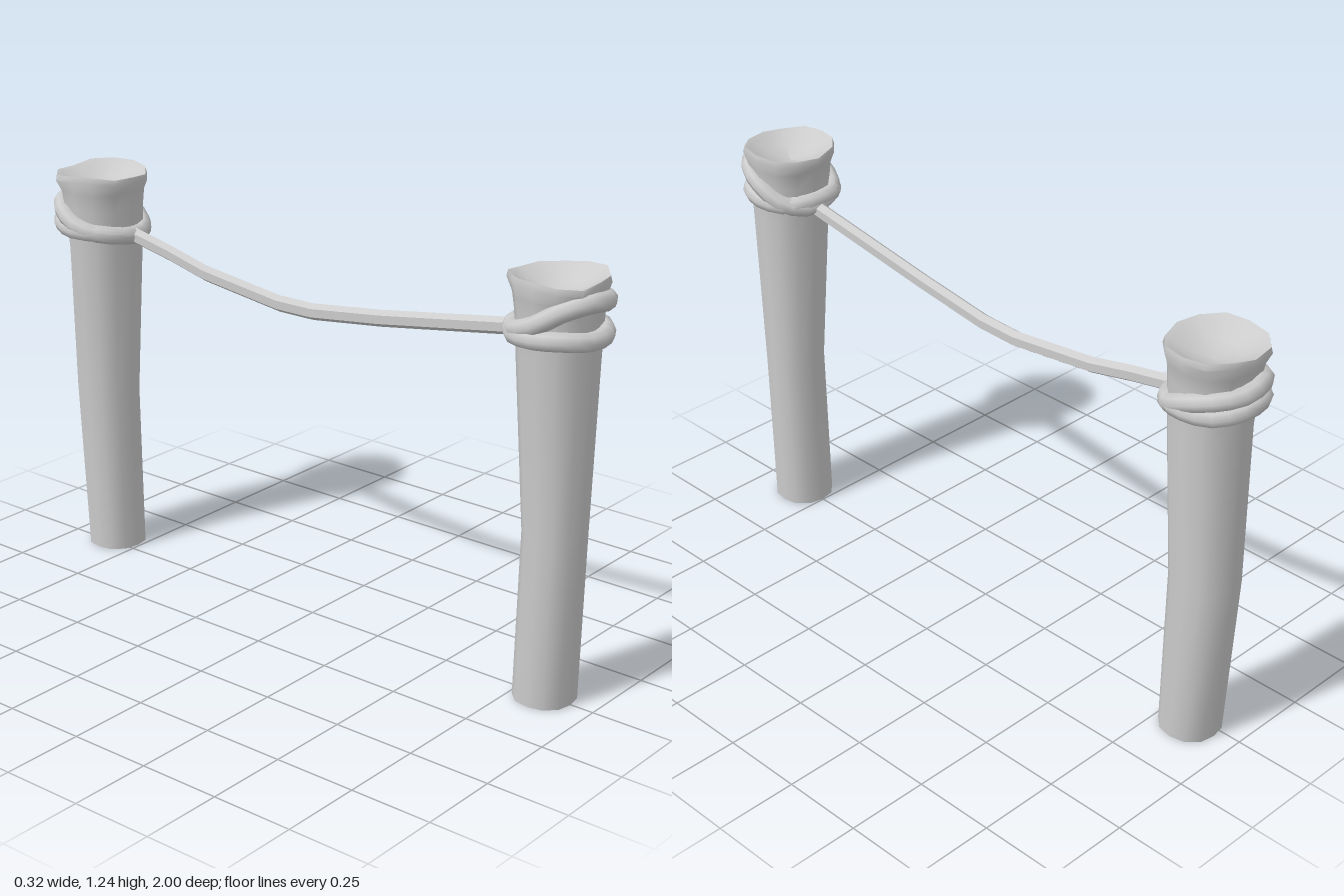
import * as THREE from 'three';
import { toCreasedNormals } from 'three/addons/utils/BufferGeometryUtils.js';

const SIDES = 12;
const wood = new THREE.MeshStandardMaterial({ color: 0xcccccc });

// Skin a stack of rings [y, centreX, centreZ, radiusX, radiusZ, roughness], bottom to top
function loft(rings, phase) {
  const pos = [], idx = [];
  rings.forEach(([y, cx, cz, rx, rz, rough = 0]) => {
    for (let j = 0; j < SIDES; j++) {
      const a = (j / SIDES) * Math.PI * 2;
      const square = 1 + 0.025 * Math.cos(4 * a + Math.PI); // slightly squared trunk
      const r = square + rough * 2 * Math.sin(3 * a + phase);
      pos.push(
        cx + rx * r * Math.cos(a),
        y + rough * 0.4 * Math.sin(2 * a + phase) + rough * 0.2 * Math.sin(5 * a),
        cz + rz * r * Math.sin(a)
      );
    }
  });
  for (let i = 0; i < rings.length - 1; i++) {
    for (let j = 0; j < SIDES; j++) {
      const k = (j + 1) % SIDES;
      const a = i * SIDES + j, b = i * SIDES + k, c = a + SIDES, d = b + SIDES;
      idx.push(a, c, b, b, c, d);
    }
  }
  const geo = new THREE.BufferGeometry();
  geo.setAttribute('position', new THREE.Float32BufferAttribute(pos, 3));
  geo.setIndex(idx);
  return toCreasedNormals(geo, 0.9);
}

// Post: hollowed foot, bent trunk, neck, flared rim and dished top
function makePost(name, trunk, phase) {
  const foot = trunk[0], [, hx, hz, hr, hrz] = trunk[trunk.length - 1];
  const rings = [
    [0.03, foot[1], foot[2], 0.001, 0.001],
    [0.025, foot[1], foot[2], foot[3] * 0.4, foot[4] * 0.4],
    [0, foot[1], foot[2], foot[3] * 0.8, foot[4] * 0.8],
    ...trunk,
    [1.232, hx, hz, hr * 0.97, hrz * 0.97, 0.015],
    [1.226, hx, hz, hr * 0.86, hrz * 0.86, 0.012],
    [1.195, hx, hz, hr * 0.5, hrz * 0.5],
    [1.18, hx, hz, 0.001, 0.001]
  ];
  const mesh = new THREE.Mesh(loft(rings, phase), wood);
  mesh.name = name;
  return mesh;
}

// One turn of rope round a post; tilt raises the +z side
function makeTurn(name, { x, y, z, rx, rz, tilt, wobble, phase }) {
  const pts = [];
  for (let j = 0; j < 10; j++) {
    const a = (j / 10) * Math.PI * 2;
    pts.push(new THREE.Vector3(
      x + rx * Math.cos(a),
      y + tilt * Math.sin(a) + wobble * Math.sin(3 * a + phase),
      z + rz * Math.sin(a)
    ));
  }
  const curve = new THREE.CatmullRomCurve3(pts, true);
  const mesh = new THREE.Mesh(new THREE.TubeGeometry(curve, 20, 0.027, 8, true), wood);
  mesh.name = name;
  return mesh;
}

// Hanging rope: hexagonal section swept along a sagging line
function makeRope() {
  const path = [
    [-0.005, 1.064, 0.74], [-0.003, 1.03, 0.53], [0, 0.985, 0.25], [0.005, 0.952, 0],
    [0.008, 0.95, -0.13], [0.011, 0.985, -0.42], [0.014, 1.02, -0.57], [0.017, 1.055, -0.75]
  ];
  const n = 6, pos = [], idx = [];
  path.forEach(([x, y, z]) => {
    for (let j = 0; j < n; j++) {
      const a = (j / n) * Math.PI * 2 + Math.PI / 2;
      pos.push(x + 0.021 * Math.cos(a), y + 0.025 * Math.sin(a), z);
    }
  });
  for (let i = 0; i < path.length - 1; i++) {
    for (let j = 0; j < n; j++) {
      const k = (j + 1) % n, a = i * n + j, b = i * n + k;
      idx.push(a, b, a + n, b, b + n, a + n);
    }
  }
  const geo = new THREE.BufferGeometry();
  geo.setAttribute('position', new THREE.Float32BufferAttribute(pos, 3));
  geo.setIndex(idx);
  // Rings run towards -z, so the winding is turned outward here
  for (let t = 0; t < idx.length; t += 3) [idx[t + 1], idx[t + 2]] = [idx[t + 2], idx[t + 1]];
  geo.setIndex(idx);
  const mesh = new THREE.Mesh(toCreasedNormals(geo, 0.6), wood.clone());
  mesh.material.side = THREE.DoubleSide;
  mesh.name = 'hangingRope';
  return mesh;
}

export function createModel() {
  const model = new THREE.Group();
  model.name = 'ropeFence';

  const frontPost = makePost('frontPost', [
    [0, 0, 0.84, 0.09, 0.09],
    [0.5, 0, 0.852, 0.091, 0.089],
    [1.0, -0.007, 0.845, 0.115, 0.11],
    [1.13, -0.01, 0.845, 0.122, 0.116],
    [1.18, -0.01, 0.843, 0.128, 0.121],
    [1.215, -0.01, 0.842, 0.138, 0.135, 0.015]
  ], 0.6);
  const backPost = makePost('backPost', [
    [0, 0.03, -0.845, 0.09, 0.09],
    [0.52, 0.033, -0.868, 0.095, 0.101],
    [1.0, 0.02, -0.843, 0.115, 0.112],
    [1.13, 0.015, -0.843, 0.123, 0.12],
    [1.18, 0.015, -0.845, 0.13, 0.126],
    [1.215, 0.015, -0.845, 0.143, 0.139, 0.015]
  ], 2.4);

  // Two turns of rope round each post
  const frontLashing = new THREE.Group();
  frontLashing.name = 'frontLashing';
  frontLashing.add(
    makeTurn('lowerTurn', { x: -0.017, y: 1.083, z: 0.848, rx: 0.121, rz: 0.125, tilt: 0, wobble: 0.004, phase: 0 }),
    makeTurn('upperTurn', { x: -0.014, y: 1.127, z: 0.848, rx: 0.121, rz: 0.125, tilt: 0.058, wobble: 0.008, phase: 1 })
  );
  const backLashing = new THREE.Group();
  backLashing.name = 'backLashing';
  backLashing.add(
    makeTurn('lowerTurn', { x: 0.012, y: 1.068, z: -0.848, rx: 0.121, rz: 0.125, tilt: -0.015, wobble: 0.005, phase: 0.5 }),
    makeTurn('upperTurn', { x: 0.012, y: 1.09, z: -0.848, rx: 0.121, rz: 0.125, tilt: -0.046, wobble: 0.006, phase: 2 })
  );

  model.add(frontPost, backPost, frontLashing, backLashing, makeRope());
  return model;
}
